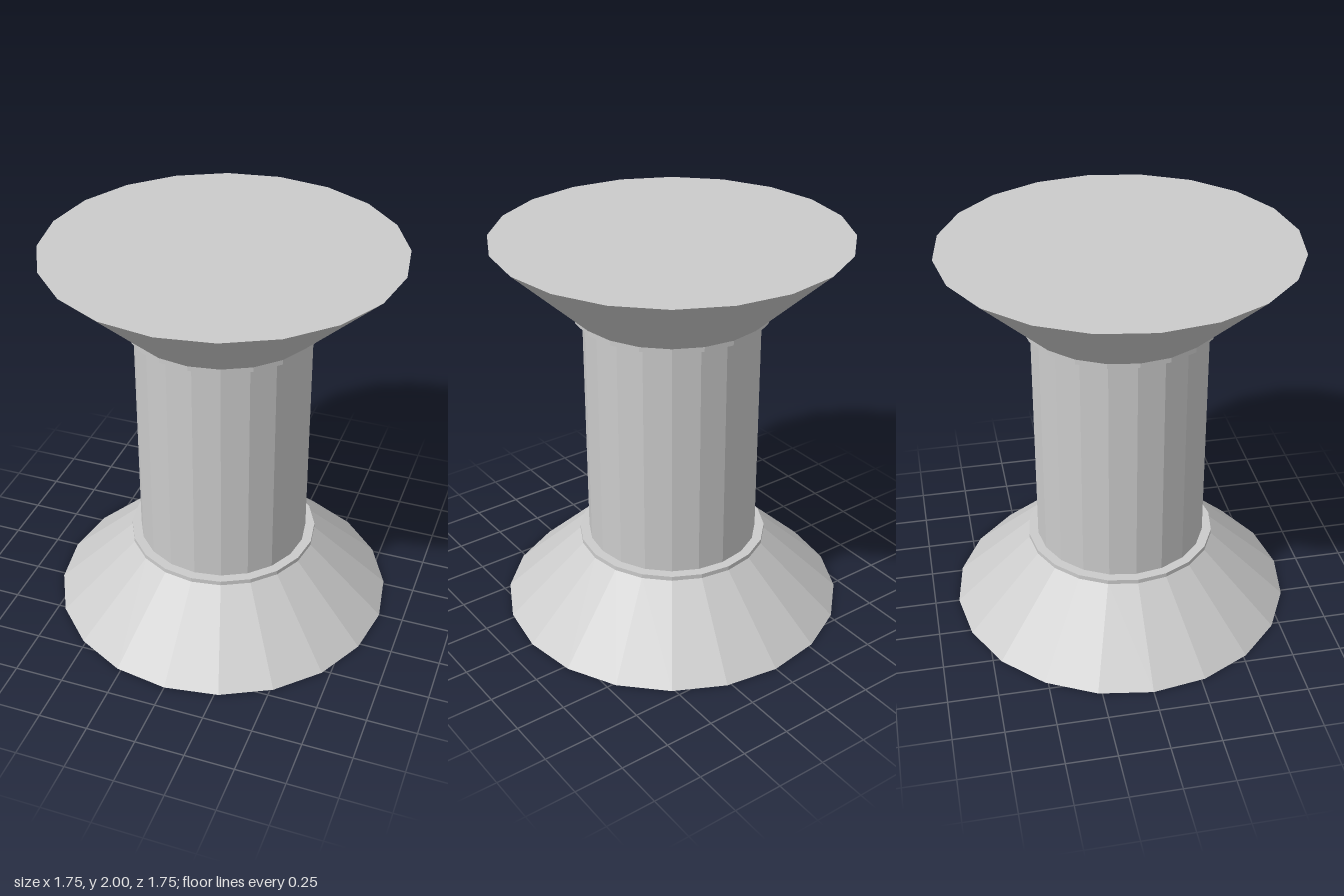
import * as THREE from 'three';

const SIDES = 20;
const CORE_RADIUS = 0.435;

export function createModel() {
  const group = new THREE.Group();
  group.name = 'spool';
  const material = new THREE.MeshStandardMaterial({ color: 0xcccccc, flatShading: true });

  const add = (name, geometry) => {
    const mesh = new THREE.Mesh(geometry, material);
    mesh.name = name;
    group.add(mesh);
    return mesh;
  };
  const turned = (profile) =>
    new THREE.LatheGeometry(profile.map(([r, y]) => new THREE.Vector2(r, y)), SIDES);

  // Base flange: open socket underneath, sloped side, thin collar on top
  add('bottomFlange', turned([
    [CORE_RADIUS, 0.065], [CORE_RADIUS, 0], [0.875, 0],
    [0.483, 0.37], [0.483, 0.393], [CORE_RADIUS, 0.393],
  ]));

  // Straight core, whose lower cap closes the socket
  const bottom = 0.065, top = 1.63;
  add('core', new THREE.CylinderGeometry(CORE_RADIUS, CORE_RADIUS, top - bottom, SIDES))
    .position.y = (bottom + top) / 2;

  // Upper flange: thin collar, flared side, closed flat top
  add('topFlange', turned([
    [CORE_RADIUS, 1.613], [0.48, 1.613], [0.48, 1.637], [0.867, 2], [0, 2],
  ]));

  return group;
}
